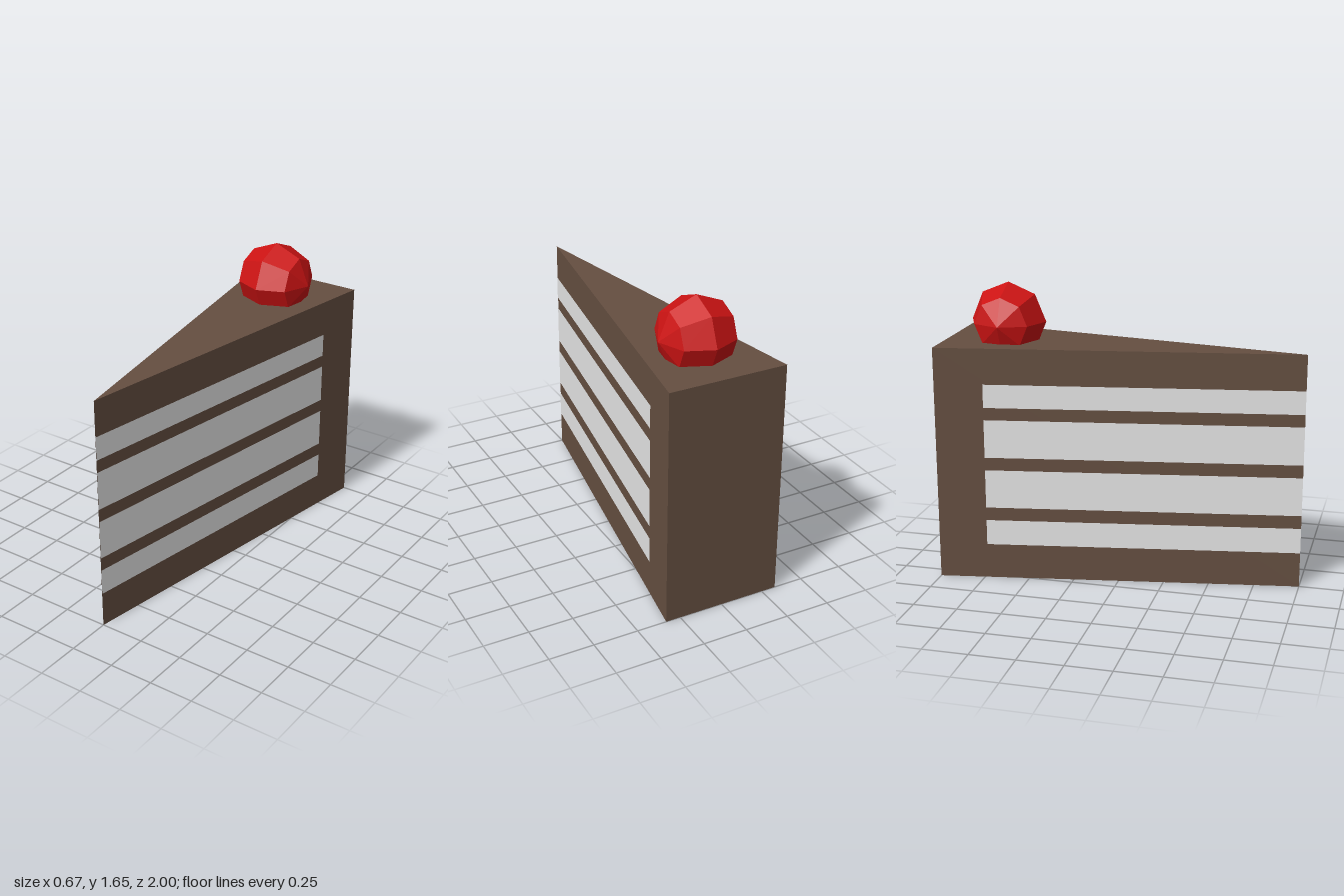
import * as THREE from 'three';

export function createModel() {
  const group = new THREE.Group();
  const chocolate = new THREE.MeshStandardMaterial({ name: 'chocolate', color: 0x654f41, flatShading: true });
  const cream = new THREE.MeshStandardMaterial({ name: 'cream', color: 0xf6f6f6, flatShading: true });
  const cherryRed = new THREE.MeshStandardMaterial({ name: 'cherryRed', color: 0xcc1313, flatShading: true });

  function add(name, geometry, material) {
    const mesh = new THREE.Mesh(geometry, material);
    mesh.name = name;
    group.add(mesh);
    return mesh;
  }

  // Triangular slice, tip towards +z
  const halfWidth = 0.333, height = 1.333;
  const outline = new THREE.Shape([
    new THREE.Vector2(0, -1),
    new THREE.Vector2(halfWidth, 1),
    new THREE.Vector2(-halfWidth, 1),
  ]);
  const slice = new THREE.ExtrudeGeometry(outline, { depth: height, bevelEnabled: false });
  slice.rotateX(-Math.PI / 2);
  add('cakeSlice', slice, chocolate);

  // Cream layers on both cut sides, from the tip almost to the back
  const layers = [[0.2, 0.345], [0.42, 0.64], [0.713, 0.93], [1.0, 1.132]];
  const backEnd = -0.733;
  const midZ = (1 + backEnd) / 2;
  const length = (1 - backEnd) / 2 * Math.hypot(2, halfWidth);
  const angle = Math.atan2(2, halfWidth);
  const lift = 0.002;
  for (const side of [1, -1]) {
    layers.forEach(([low, high], i) => {
      const layer = add(`${side > 0 ? 'left' : 'right'}CreamLayer${i + 1}`,
        new THREE.PlaneGeometry(length, high - low), cream);
      layer.rotation.y = side * angle;
      layer.position.set(
        side * ((1 - midZ) / 2 * halfWidth + lift * Math.sin(angle)),
        (low + high) / 2,
        midZ + lift * Math.cos(angle));
    });
  }

  // Low-poly cherry lying on its side, sunk into the top
  const cherry = add('cherry', new THREE.SphereGeometry(0.215, 8, 4).rotateZ(Math.PI / 2), cherryRed);
  cherry.position.set(0, 1.436, -0.667);

  return group;
}
